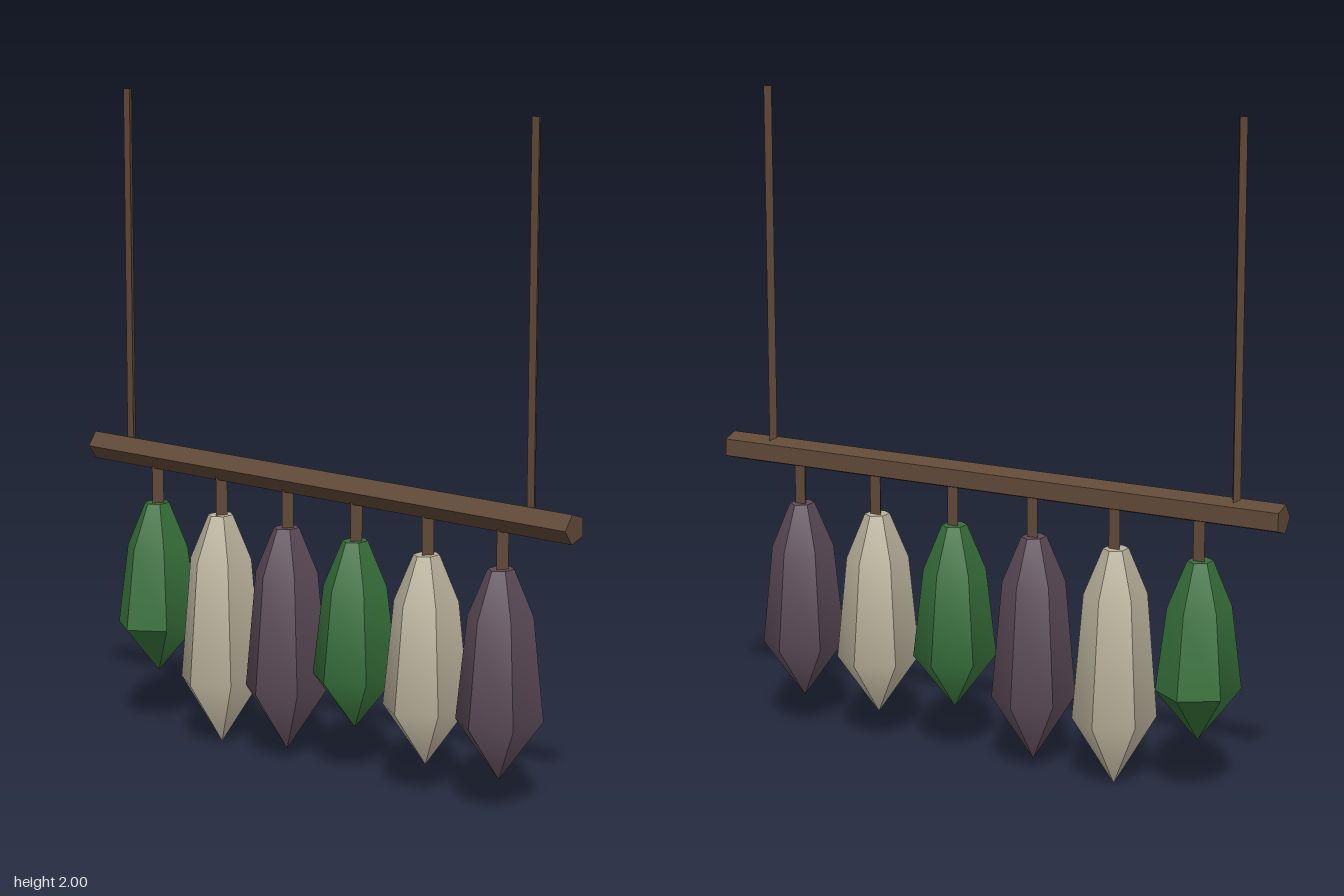
import * as THREE from 'three';
import { toCreasedNormals } from 'three/addons/utils/BufferGeometryUtils.js';

const material = (name, color) => {
  const m = new THREE.MeshStandardMaterial({ color });
  m.name = name;
  return m;
};

export function createModel() {
  const group = new THREE.Group();
  const wood = material('brown wood', 0x624a38);
  const glass = [
    material('green glass', 0x37703a),
    material('cream glass', 0xbab29c),
    material('purple glass', 0x5c4b58),
  ];

  const add = (name, geometry, mat, x, y) => {
    const mesh = new THREE.Mesh(toCreasedNormals(geometry, 0.76), mat);
    mesh.name = name;
    mesh.position.set(x, y, 0);
    group.add(mesh);
  };

  // Upright prism between two heights
  const prism = (name, radius, bottom, top, x, turn) =>
    add(name, new THREE.CylinderGeometry(radius, radius, top - bottom, 3, 1, false, turn), wood, x, (top + bottom) / 2);

  // Five-sided crossbar
  add('crossbar', new THREE.CylinderGeometry(0.045, 0.045, 1.88, 5).rotateZ(Math.PI / 2), wood, 0, 0.8725);

  // Hanging rods
  for (const side of [-1, 1]) prism('hangingRod', 0.015, 0.88, 2, side * 0.79, Math.PI);

  // Faceted pendants, each on a short peg
  const top = 0.72;
  const tips = [0.18, 0, 0.03, 0.15, 0.09, 0.1];
  tips.forEach((tip, i) => {
    const x = (i - 2.5) * 0.273;
    const length = top - tip;
    const profile = [
      [0, 0],
      [0.14, length * 0.285],
      [0.105, length - 0.138],
      [0.042, length],
      [0, length],
    ].map(([r, y]) => new THREE.Vector2(r, y));
    const pendant = new THREE.LatheGeometry(profile, 6).scale(0.866, 1, 1);
    add('pendant', pendant, glass[i % 3], x, tip);
    prism('peg', 0.021, top - 0.01, 0.86, x, 0);
  });

  return group;
}
